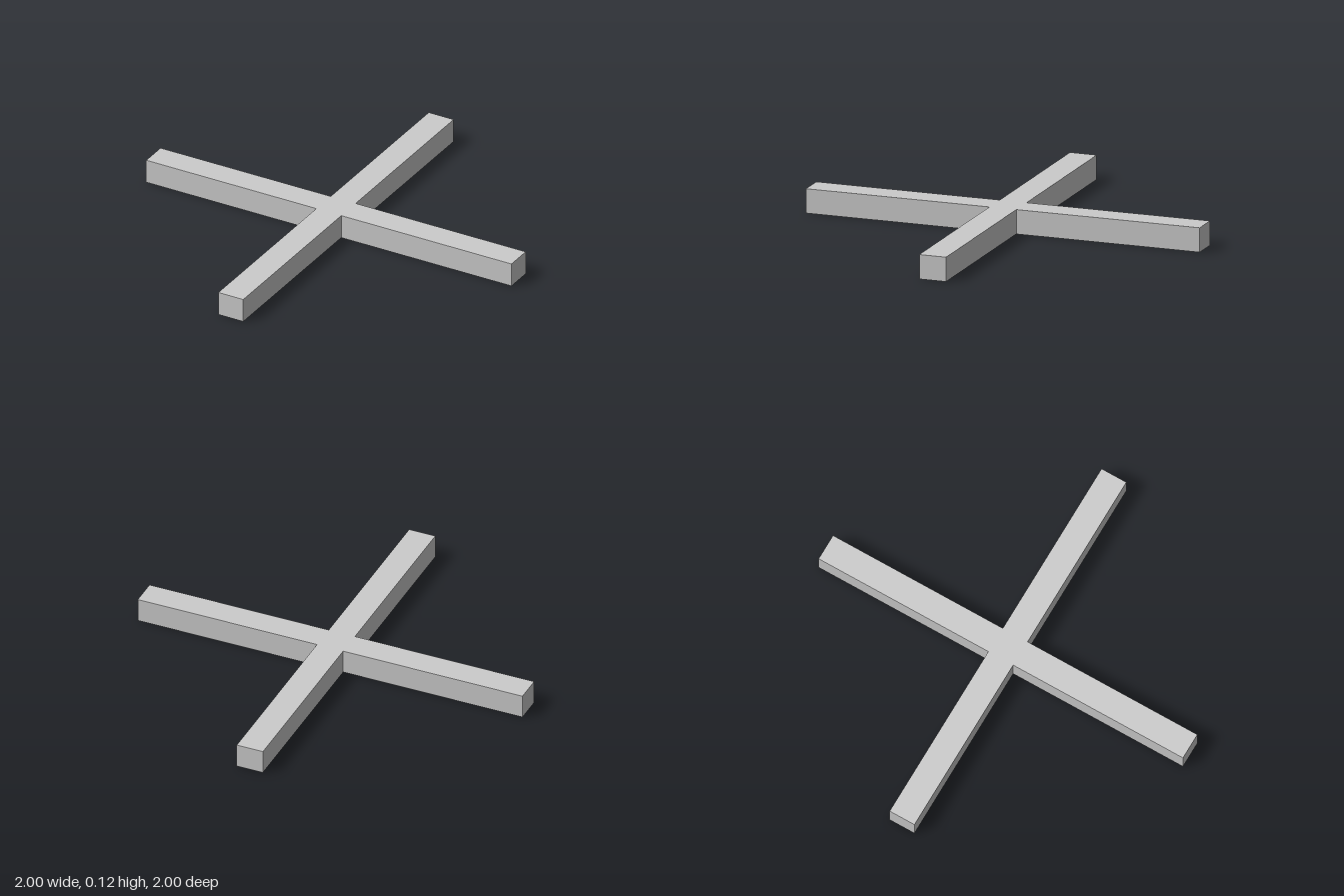
import * as THREE from 'three';

const HEIGHT = 0.12, HALF_WIDTH = 0.068, RIM = 0.025, RECESS = 0.01;

// Corner points of a plus sign with arms of the given reach and half width
function crossPoints(reach, w) {
  const points = [];
  for (let i = 0; i < 4; i++) {
    const corner = new THREE.Vector2();
    for (const [x, y] of [[reach, -w], [reach, w], [w, w]]) {
      points.push(corner.set(x, y).rotateAround(new THREE.Vector2(), i * Math.PI / 2).clone());
    }
  }
  return points;
}

// Extrude a shape upwards from the height y
function slab(name, shape, y, depth, material) {
  const geometry = new THREE.ExtrudeGeometry(shape, { depth, bevelEnabled: false });
  geometry.rotateX(-Math.PI / 2).translate(0, y, 0);
  const mesh = new THREE.Mesh(geometry, material);
  mesh.name = name;
  return mesh;
}

export function createModel() {
  const group = new THREE.Group();
  group.name = 'crossBase';
  const material = new THREE.MeshStandardMaterial({ color: 0xcccccc, flatShading: true });

  // Four solid arms joined in the middle
  const body = new THREE.Shape(crossPoints(1, HALF_WIDTH));
  group.add(slab('crossBody', body, RECESS, HEIGHT - RECESS, material));

  // Rim around the shallow recess in the underside
  const rim = new THREE.Shape(crossPoints(1, HALF_WIDTH));
  rim.holes.push(new THREE.Path(crossPoints(1 - RIM, HALF_WIDTH - RIM)));
  group.add(slab('undersideRim', rim, 0, RECESS, material));

  return group;
}
